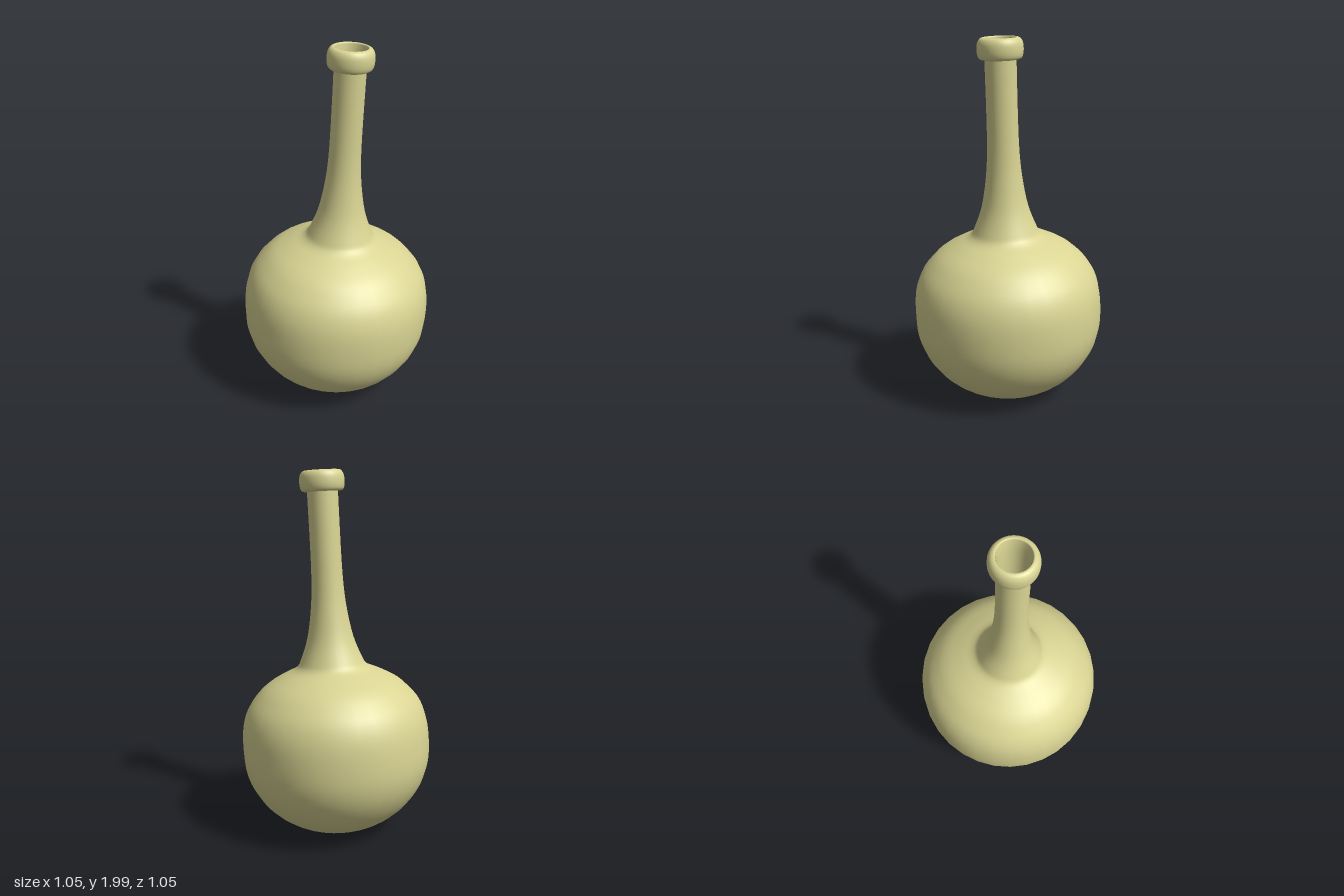
import * as THREE from 'three';

const SIDES = 32;

// Smooth curve through a few [radius, height] points, turned about the axis
function turned(name, points, samples, material) {
  const curve = new THREE.SplineCurve(points.map(([r, y]) => new THREE.Vector2(r, y)));
  const profile = curve.getPoints(samples);
  profile.forEach((p) => { p.x = Math.max(p.x, 0); });
  const mesh = new THREE.Mesh(new THREE.LatheGeometry(profile, SIDES), material);
  mesh.name = name;
  return mesh;
}

export function createModel() {
  const glass = new THREE.MeshStandardMaterial({ color: 0xd9d493 });
  glass.name = 'pale olive glass';

  // Round belly, sloping shoulder and long tapering neck
  const outer = [
    [0, 0.006], [0.1, 0.01], [0.2, 0.029], [0.3, 0.075], [0.4, 0.155], [0.475, 0.26],
    [0.515, 0.37], [0.525, 0.49], [0.515, 0.62], [0.48, 0.72], [0.42, 0.797],
    [0.36, 0.848], [0.28, 0.892], [0.2, 0.932], [0.168, 0.985], [0.127, 1.1],
    [0.1, 1.25], [0.087, 1.4], [0.083, 1.6], [0.083, 1.9],
  ];

  // Inner wall, followed from the mouth down to the floor
  const inner = outer.map(([r, y], i) => [
    i === 0 ? 0 : r - 0.008,
    y < 0.49 ? y + 0.01 : y < 0.94 ? y - 0.01 : y,
  ]).reverse();
  inner.unshift([0.083, 1.99]);

  // Rounded collar around the mouth
  const collar = [
    [0.078, 1.893], [0.095, 1.886], [0.111, 1.892], [0.119, 1.912], [0.121, 1.94],
    [0.118, 1.968], [0.108, 1.988], [0.095, 1.996], [0.086, 1.995], [0.083, 1.985],
  ];

  // The whole bottle leans slightly about the middle of its belly
  const bottle = new THREE.Group();
  bottle.name = 'bottle';
  bottle.add(
    turned('bodyAndNeck', outer, 76, glass),
    turned('innerWall', inner, 76, glass),
    turned('collar', collar, 27, glass),
  );
  bottle.children.forEach((part) => { part.position.y = -0.48; });
  bottle.position.y = 0.48;
  bottle.quaternion.setFromUnitVectors(
    new THREE.Vector3(0, 1, 0),
    new THREE.Vector3(0.055, 1, 0.02).normalize(),
  );

  const model = new THREE.Group();
  model.name = 'leaningBottle';
  model.add(bottle);
  return model;
}
